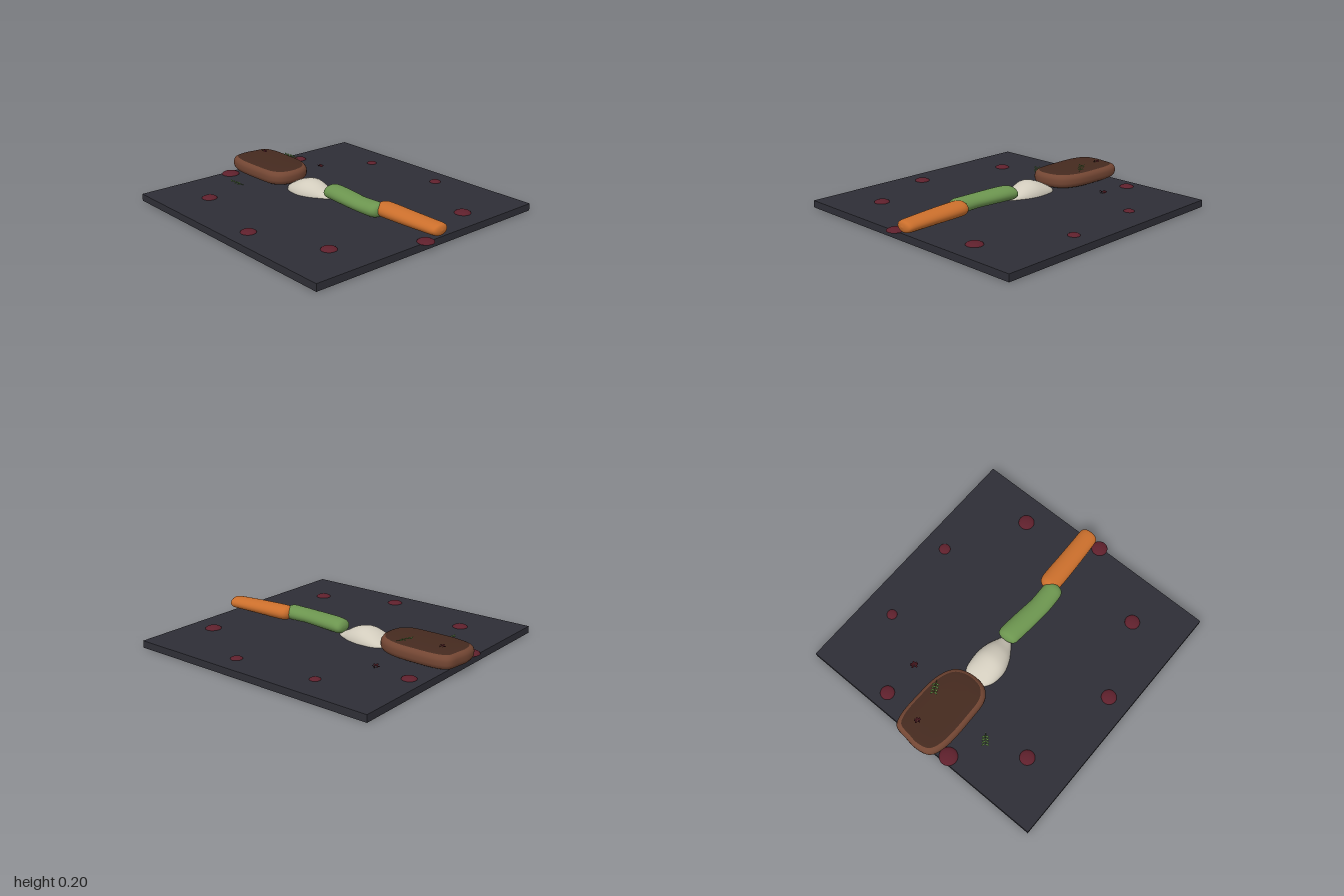
import * as THREE from 'three';

const mat = (name, color, side = THREE.FrontSide) => {
  const m = new THREE.MeshStandardMaterial({ color, side });
  m.name = name;
  return m;
};

// Joins equal closed rings of points into one smooth skin
function skin(rings) {
  const n = rings[0].length, index = [];
  for (let i = 0; i < rings.length - 1; i++) {
    for (let j = 0; j < n; j++) {
      const a = i * n + j, b = i * n + (j + 1) % n, c = a + n, d = b + n;
      index.push(a, b, c, b, d, c);
    }
  }
  const geo = new THREE.BufferGeometry().setFromPoints(rings.flat());
  geo.setIndex(index);
  geo.computeVertexNormals();
  return geo;
}

// Rounded body along x from stations [x, y, z, half height, half width]
function loft(stations, floor) {
  const smooth = (f) => new THREE.CatmullRomCurve3(stations.map(f), false, 'catmullrom');
  const path = smooth((s) => new THREE.Vector3(s[0], s[1], s[2]));
  const size = smooth((s) => new THREE.Vector3(s[3], s[4], 0));
  const rings = [], steps = (stations.length - 1) * 4;
  for (let i = 0; i <= steps; i++) {
    const p = path.getPoint(i / steps), r = size.getPoint(i / steps);
    const ring = [];
    for (let j = 0; j < 32; j++) {
      const a = (j / 32) * Math.PI * 2;
      const y = p.y + Math.max(0, r.x) * Math.cos(a);
      ring.push(new THREE.Vector3(p.x, Math.max(floor, y), p.z + Math.max(0, r.y) * Math.sin(a)));
    }
    rings.push(ring);
  }
  return skin(rings);
}

export function createModel() {
  const model = new THREE.Group();
  model.name = 'platedMeal';
  const slate = mat('slate', 0x2e2e36);
  const seared = mat('searedBrown', 0x452a1f);
  const brown = mat('meatBrown', 0x734633);
  const cream = mat('cream', 0xd2ccbd);
  const green = mat('vegetableGreen', 0x6c954f);
  const orange = mat('carrotOrange', 0xcb6f2c);
  const wine = mat('wineRed', 0x5e202c);
  const herb = mat('herbGreen', 0x5f8a42, THREE.DoubleSide);
  const dark = mat('darkLeaf', 0x3c1218, THREE.DoubleSide);

  const add = (name, geo, material, parent = model) => {
    const mesh = new THREE.Mesh(geo, material);
    mesh.name = name;
    parent.add(mesh);
    return mesh;
  };

  // Serving slab
  add('slab', new THREE.BoxGeometry(1.89, 0.05, 1.89), slate).position.set(0.005, 0.025, -0.003);

  // Meat: one outline stacked along a rounded edge profile
  const outline = new THREE.CatmullRomCurve3([
    [-1, 0.037], [-0.973, 0.134], [-0.88, 0.178], [-0.615, 0.187], [-0.455, 0.17], [-0.392, 0.107],
    [-0.382, -0.02], [-0.425, -0.12], [-0.535, -0.178], [-0.72, -0.195], [-0.91, -0.187], [-0.972, -0.155], [-0.99, -0.06],
  ].map(([x, z]) => new THREE.Vector3(x, 0, z)), true).getPoints(64).slice(0, 64);
  const slice = ([inset, y]) => outline.map((p) => new THREE.Vector3(
    -0.69 + (p.x + 0.69) * (1 - inset / 0.31), y, p.z * (1 - Math.min(1, inset / 0.19))));
  const stack = (profile) => skin(profile.map(slice));
  const meat = new THREE.Group();
  meat.name = 'meat';
  model.add(meat);
  add('meatSide', stack([[0.028, 0.061], [0.014, 0.069], [0.004, 0.083], [0, 0.098], [0, 0.122],
    [0.004, 0.137], [0.014, 0.15], [0.028, 0.157]]), brown, meat);
  // Seared faces close to a short centre line
  add('searedTop', stack([[0.028, 0.157], [0.05, 0.161], [0.1, 0.164], [0.19, 0.165]]), seared, meat);
  add('searedBase', stack([[0.19, 0.053], [0.1, 0.054], [0.05, 0.056], [0.028, 0.061]]), seared, meat);

  // Mash: pointed mound resting on the slab
  add('mash', loft([
    [-0.43, 0.05, 0.01, 0, 0], [-0.4, 0.05, 0.01, 0.018, 0.06], [-0.35, 0.05, 0.014, 0.047, 0.1],
    [-0.29, 0.05, 0.018, 0.076, 0.116], [-0.21, 0.05, 0.018, 0.095, 0.118], [-0.13, 0.05, 0.012, 0.078, 0.097],
    [-0.07, 0.05, 0.006, 0.045, 0.066], [-0.02, 0.05, 0, 0.018, 0.035], [0.01, 0.05, 0, 0, 0],
  ], 0.045), cream);

  // Green vegetable and carrot
  add('greenVegetable', loft([
    [-0.042, 0.1, -0.01, 0, 0], [-0.036, 0.1, -0.01, 0.025, 0.045], [-0.012, 0.104, -0.004, 0.046, 0.071],
    [0.05, 0.107, 0.001, 0.051, 0.075], [0.17, 0.107, 0.012, 0.05, 0.075], [0.3, 0.106, 0.023, 0.048, 0.072],
    [0.4, 0.106, 0.021, 0.05, 0.072], [0.46, 0.107, 0.018, 0.05, 0.068], [0.49, 0.107, 0.017, 0.034, 0.046],
    [0.5, 0.107, 0.017, 0, 0],
  ], 0.045), green);
  add('carrot', loft([
    [0.434, 0.108, -0.03, 0, 0], [0.441, 0.108, -0.03, 0.028, 0.04], [0.468, 0.109, -0.03, 0.048, 0.067],
    [0.53, 0.109, -0.031, 0.051, 0.075], [0.7, 0.107, -0.036, 0.048, 0.073], [0.86, 0.105, -0.044, 0.044, 0.07],
    [0.94, 0.104, -0.049, 0.041, 0.067], [0.966, 0.104, -0.05, 0.031, 0.047], [0.976, 0.104, -0.05, 0, 0],
  ], 0.045), orange);

  // Sauce drops: [x, z, radius]
  const drop = new THREE.SphereGeometry(1, 24, 8, 0, Math.PI * 2, 0, Math.PI / 2);
  [[-0.39, -0.74, 0.037], [0.225, -0.79, 0.041], [0.765, -0.475, 0.057], [-0.83, -0.38, 0.05], [-0.895, 0.225, 0.064],
    [0.94, 0.06, 0.057], [-0.567, 0.63, 0.053], [0.107, 0.79, 0.053], [0.64, 0.583, 0.053]].forEach(([x, z, r]) => {
    const mesh = add('sauceDrop', drop, wine);
    mesh.position.set(x, 0.049, z);
    mesh.scale.set(r, 0.3 * r + 0.003, r);
  });

  // Herb sprigs: thin stem with paired leaves
  const leaf = new THREE.CircleGeometry(1, 10).rotateX(-Math.PI / 2);
  const sprig = (base, tip) => {
    const a = new THREE.Vector3(...base), b = new THREE.Vector3(...tip);
    const group = new THREE.Group();
    group.name = 'herbSprig';
    model.add(group);
    add('stem', new THREE.TubeGeometry(new THREE.LineCurve3(a, b), 1, 0.002, 5), herb, group);
    const heading = Math.atan2(a.z - b.z, b.x - a.x);
    for (let i = 0; i < 4; i++) {
      for (const side of [-1, 1]) {
        const mesh = add('leaf', leaf, herb, group);
        const turn = heading + side * 0.9;
        mesh.position.lerpVectors(a, b, 0.25 + i * 0.23);
        mesh.position.x += Math.cos(turn) * 0.016;
        mesh.position.z -= Math.sin(turn) * 0.016;
        mesh.rotation.set(0, turn, 0.25, 'YXZ');
        mesh.scale.set(0.015, 1, 0.006);
      }
    }
  };
  sprig([-0.57, 0.171, -0.152], [-0.65, 0.193, -0.105]);
  sprig([-0.615, 0.057, 0.31], [-0.68, 0.082, 0.362]);

  // Dark curled leaf clusters
  [[-0.86, 0.165, -0.065, 0.8], [-0.57, 0.052, -0.37, 1]].forEach(([x, y, z, s]) => {
    const group = new THREE.Group();
    group.name = 'darkLeaves';
    group.position.set(x, y, z);
    group.scale.setScalar(s);
    model.add(group);
    for (let i = 0; i < 7; i++) {
      const turn = i * 2.4, mesh = add('leaf', leaf, dark, group);
      mesh.position.set(Math.cos(turn) * 0.016, 0.008 + (i % 3) * 0.004, -Math.sin(turn) * 0.016);
      mesh.rotation.set(0.3, turn, 0.35, 'YXZ');
      mesh.scale.set(0.014, 1, 0.008);
    }
  });

  return model;
}
